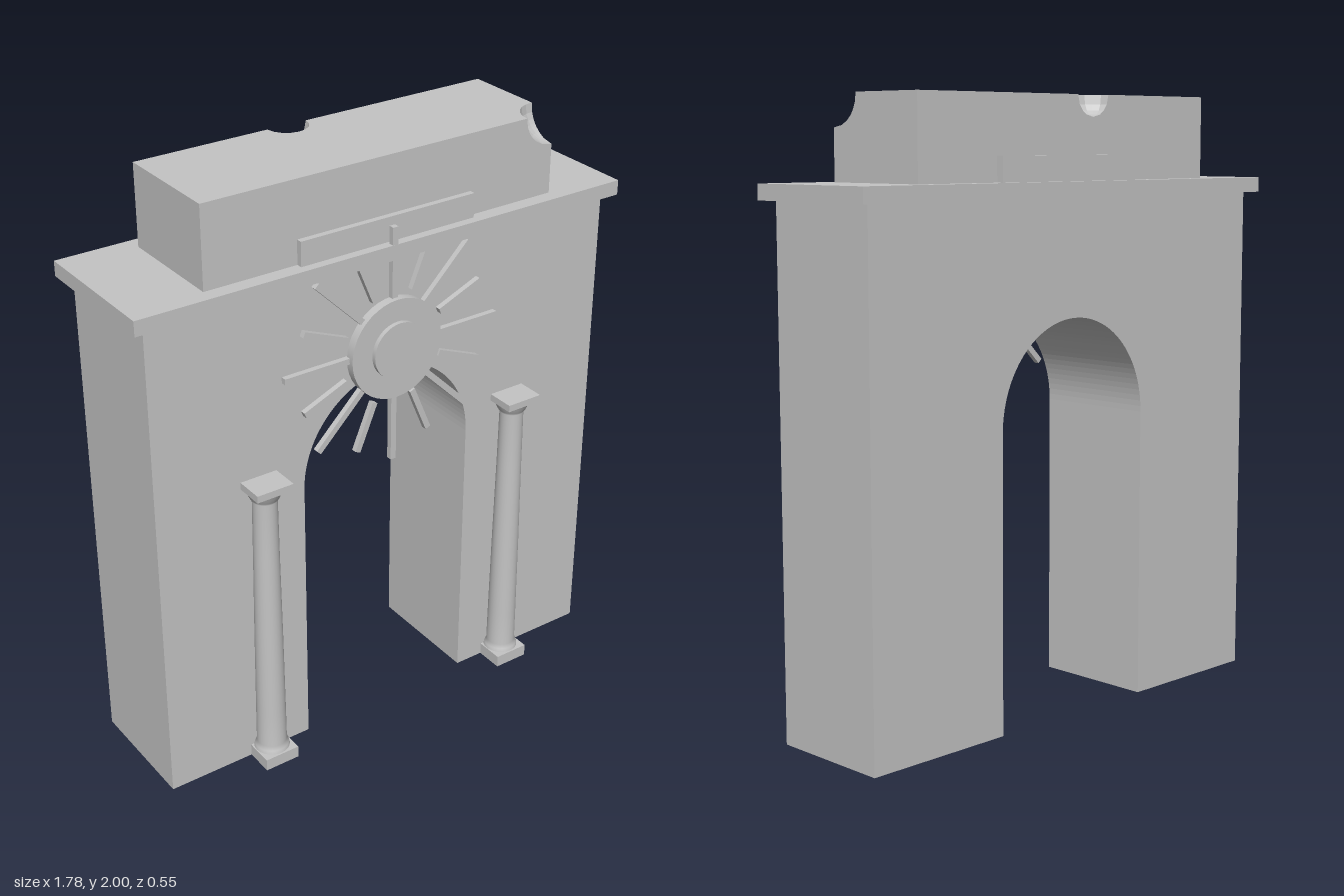
import * as THREE from 'three';

const stone = new THREE.MeshStandardMaterial({ color: 0xc4c4c4 });
stone.name = 'paleStone';

const MID_Z = -0.0325; // middle of the wall thickness

function add(parent, name, geometry, x = 0, y = 0, z = 0) {
  const mesh = new THREE.Mesh(geometry, stone);
  mesh.name = name;
  mesh.position.set(x, y, z);
  parent.add(mesh);
  return mesh;
}

// Main wall with an arched passage open at the ground
function archWall() {
  const s = new THREE.Shape();
  s.moveTo(-0.85, 0);
  s.lineTo(-0.32, 0);
  s.lineTo(-0.32, 0.965);
  s.absellipse(0, 0.965, 0.32, 0.335, Math.PI, 0, true);
  s.lineTo(0.32, 0);
  s.lineTo(0.85, 0);
  s.lineTo(0.85, 1.68);
  s.lineTo(-0.85, 1.68);
  s.closePath();
  return new THREE.ExtrudeGeometry(s, { depth: 0.42, bevelEnabled: false, curveSegments: 28 });
}

// Plan outline of the attic at height y, with two round bites growing to the top
function atticOutline(y) {
  const bite = (R) => Math.sqrt(Math.max(0, R * R - (2 - y) ** 2));
  const pts = [[-0.64, 0.16]];
  const arc = (cx, cz, r, from, to, n) => {
    for (let i = 0; i <= n; i++) {
      const a = from + ((to - from) * i) / n;
      pts.push([cx + r * Math.cos(a), cz + r * Math.sin(a)]);
    }
  };
  arc(0.64, 0.16, bite(0.105), Math.PI, Math.PI * 1.5, 6);
  pts.push([0.64, -0.22]);
  arc(-0.105, -0.22, bite(0.07), 0, Math.PI, 8);
  pts.push([-0.64, -0.22]);
  return pts;
}

// Attic block lofted from its outlines
function atticBlock() {
  const heights = [1.73, 1.895, 1.902, 1.915, 1.93, 1.937, 1.95, 1.97, 2];
  const rings = heights.map((y) => atticOutline(y).map(([x, z]) => [x, y, z]));
  const pos = [];
  const n = rings[0].length;
  for (let k = 0; k < rings.length - 1; k++) {
    for (let i = 0; i < n; i++) {
      const j = (i + 1) % n;
      const [a, b, c, d] = [rings[k][i], rings[k][j], rings[k + 1][j], rings[k + 1][i]];
      pos.push(...a, ...b, ...c, ...a, ...c, ...d);
    }
  }
  const top = rings[rings.length - 1];
  const flat = top.map(([x, , z]) => new THREE.Vector2(x, -z));
  for (const tri of THREE.ShapeUtils.triangulateShape(flat, [])) {
    for (const i of tri) pos.push(...top[i]);
  }
  const g = new THREE.BufferGeometry();
  g.setAttribute('position', new THREE.Float32BufferAttribute(pos, 3));
  g.computeVertexNormals();
  return g;
}

// Column: square plinth, tapering round shaft with flares, square cap
function column(name, x) {
  const g = new THREE.Group();
  g.name = name;
  g.position.set(x, 0, 0.21);
  add(g, 'plinth', new THREE.BoxGeometry(0.124, 0.042, 0.13), 0, 0.021, 0);
  add(g, 'cap', new THREE.BoxGeometry(0.13, 0.024, 0.13), 0, 1.058, 0);
  const profile = [
    [0.06, 0.04], [0.057, 0.055], [0.05, 0.068], [0.049, 0.2], [0.046, 0.5],
    [0.042, 0.8], [0.04, 1.005], [0.047, 1.015], [0.054, 1.03], [0.062, 1.046],
  ].map(([r, y]) => new THREE.Vector2(r, y));
  add(g, 'shaft', new THREE.LatheGeometry(profile, 24));
  return g;
}

// Sunburst ornament: disc, hub and sixteen rays
function sunburst() {
  const g = new THREE.Group();
  g.name = 'sunburst';
  g.position.set(0, 1.385, 0);
  const disc = (r, z0, z1) =>
    new THREE.CylinderGeometry(r, r, z1 - z0, 40).rotateX(Math.PI / 2).translate(0, 0, (z0 + z1) / 2);
  add(g, 'disc', disc(0.169, 0.195, 0.225));
  add(g, 'hub', disc(0.095, 0.22, 0.24));
  for (let i = 0; i < 16; i++) {
    const long = i % 2 === 0;
    const from = long ? 0.15 : 0.19;
    const to = long ? 0.403 : 0.36;
    const ray = new THREE.BoxGeometry(to - from, 0.02, 0.019).translate((from + to) / 2, 0, 0.2);
    add(g, 'ray', ray).rotation.z = (i * Math.PI) / 8;
  }
  return g;
}

export function createModel() {
  const model = new THREE.Group();
  model.name = 'triumphalArch';
  add(model, 'archWall', archWall(), 0, 0, -0.2425);
  add(model, 'cornice', new THREE.BoxGeometry(1.785, 0.05, 0.485), 0, 1.705, MID_Z);
  add(model, 'attic', atticBlock());
  add(model, 'plaque', new THREE.BoxGeometry(0.64, 0.082, 0.425), 0, 1.77, MID_Z);
  model.add(sunburst());
  model.add(column('leftColumn', 0.487), column('rightColumn', -0.487));
  return model;
}
